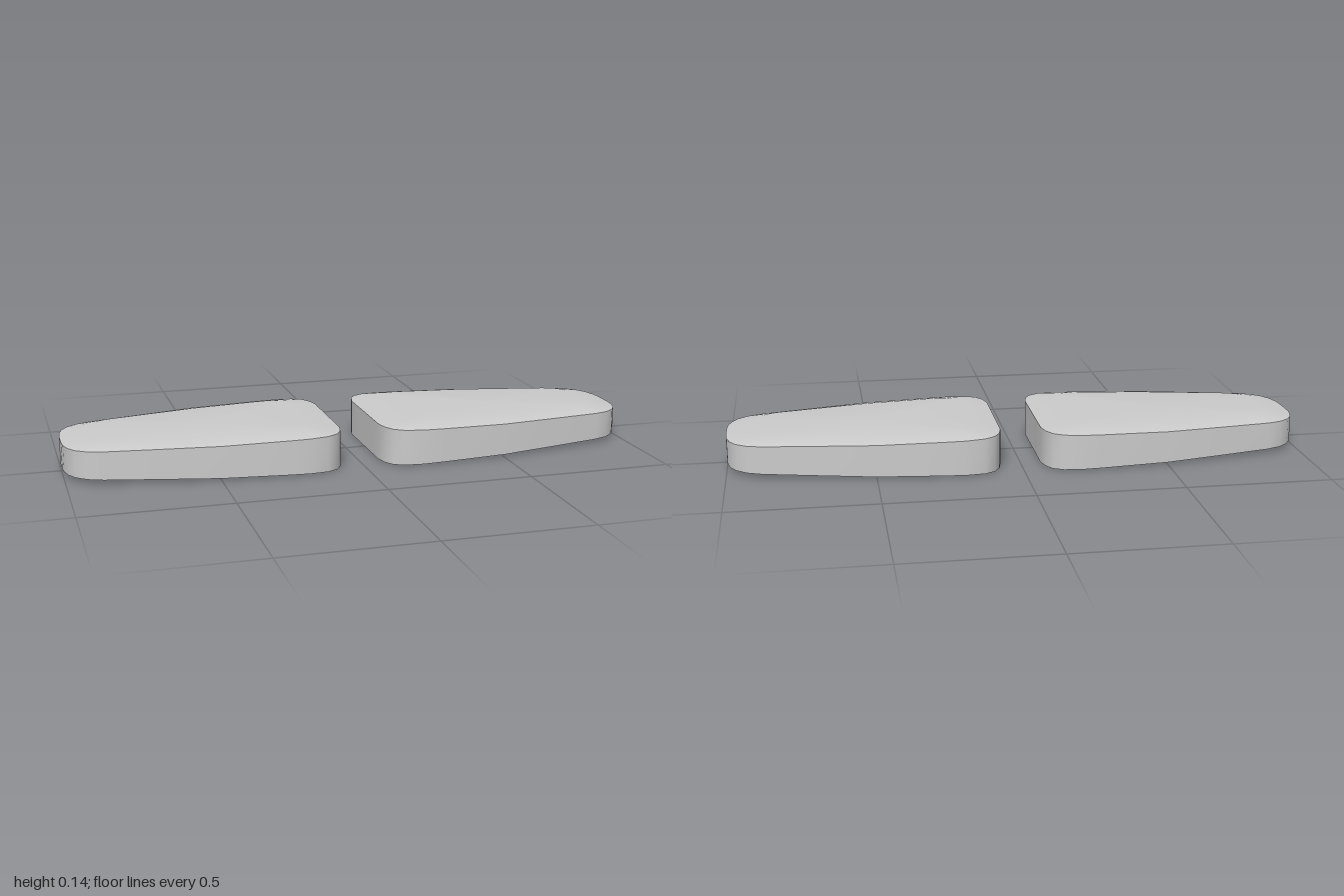
import * as THREE from 'three';

// Half outlines (x, z) running from the inner end to the outer end
const RIM = [[0.07, 0.08], [0.07, 0.165], [0.08, 0.21], [0.1, 0.244], [0.135, 0.265], [0.2, 0.275], [0.27, 0.274],
  [0.5, 0.262], [0.7, 0.228], [0.88, 0.196], [0.93, 0.178], [0.965, 0.15], [0.985, 0.118], [0.997, 0.075], [1, 0.035]];
const PLATEAU = [[0.19, 0.08], [0.19, 0.155], [0.194, 0.18], [0.203, 0.195], [0.22, 0.204], [0.25, 0.208], [0.3, 0.206],
  [0.5, 0.194], [0.68, 0.168], [0.82, 0.147], [0.855, 0.134], [0.877, 0.115], [0.889, 0.09], [0.896, 0.06], [0.898, 0.03]];

// Heights taper towards the outer end
const bottomY = x => 0.018 * (x - 0.07) / 0.93;
const rimY = x => 0.126 - 0.016 * (x - 0.07) / 0.93;
const plateauY = x => 0.14 - 0.012 * (x - 0.19) / 0.71;

// Closed ring, counter-clockwise from above; side = -1 mirrors it in x
function ring(half, height, side) {
  const back = half.map(([x, z]) => [x, -z]).reverse();
  const points = [...half, ...back].map(([x, z]) => new THREE.Vector3(side * x, height(x), z));
  return side < 0 ? points.reverse() : points;
}

// Skin stacked rings, optionally closing the last one with a fan
function skin(rings, capped) {
  const n = rings[0].length;
  const points = rings.flat();
  const index = [];
  for (let r = 0; r < rings.length - 1; r++) {
    for (let i = 0; i < n; i++) {
      const a = r * n + i, b = r * n + (i + 1) % n;
      index.push(a, b, b + n, a, b + n, a + n);
    }
  }
  if (capped) {
    const last = rings[rings.length - 1];
    const centre = last.reduce((sum, p) => sum.add(p), new THREE.Vector3()).divideScalar(n);
    const base = (rings.length - 1) * n;
    points.push(centre);
    for (let i = 0; i < n; i++) index.push(base + i, base + (i + 1) % n, points.length - 1);
  }
  const geometry = new THREE.BufferGeometry().setFromPoints(points);
  geometry.setIndex(index);
  geometry.computeVertexNormals();
  return geometry;
}

export function createModel() {
  const group = new THREE.Group();
  const material = new THREE.MeshStandardMaterial({ color: 0xcccccc });

  for (const [name, side] of [['left', 1], ['right', -1]]) {
    const pad = new THREE.Group();
    pad.name = name + 'Pad';
    const add = (part, geometry) => {
      const mesh = new THREE.Mesh(geometry, material);
      mesh.name = part;
      pad.add(mesh);
    };
    const bottom = ring(RIM, bottomY, side);
    const rim = ring(RIM, rimY, side);

    // Upright wall, softly bevelled top and flat underside
    add('sideWall', skin([bottom, rim], false));
    add('bevelledTop', skin([rim, ring(PLATEAU, plateauY, side)], true));
    add('underside', skin([[...bottom].reverse()], true));
    group.add(pad);
  }
  return group;
}
